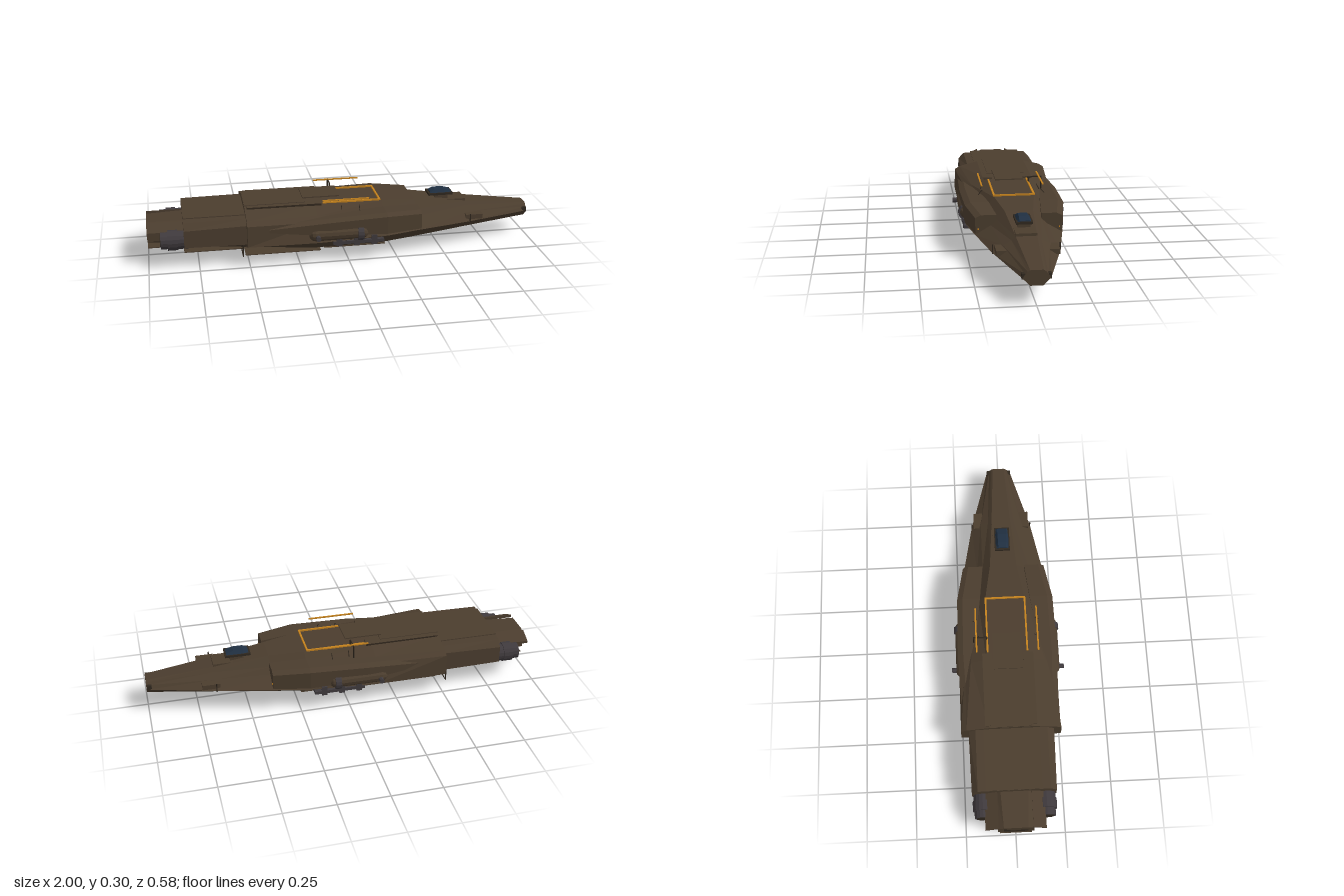
import * as THREE from 'three';

const mat = (name, color) => {
  const m = new THREE.MeshStandardMaterial({ color, flatShading: true, side: THREE.DoubleSide });
  m.name = name;
  return m;
};

export function createModel() {
  const brown = mat('hull brown', 0x4b3d2e);
  const dark = mat('dark trim', 0x30281f);
  const grey = mat('machinery grey', 0x3f3a3d);
  const orange = mat('orange marking', 0xc4821e);
  const glass = mat('canopy blue', 0x203042);
  const ship = new THREE.Group();
  ship.name = 'ship';

  const add = (name, geo, m, x = 0, y = 0, z = 0) => {
    const mesh = new THREE.Mesh(geo, m);
    mesh.name = name;
    mesh.position.set(x, y, z);
    ship.add(mesh);
    return mesh;
  };
  // box given by its limits on each axis
  const box = (name, m, x0, x1, y0, y1, z0, z1) =>
    add(name, new THREE.BoxGeometry(x1 - x0, y1 - y0, z1 - z0), m, (x0 + x1) / 2, (y0 + y1) / 2, (z0 + z1) / 2);
  // box on both sides of the ship
  const pair = (name, m, x0, x1, y0, y1, z0, z1) => {
    box(name + 'Left', m, x0, x1, y0, y1, z0, z1);
    box(name + 'Right', m, x0, x1, y0, y1, -z1, -z0);
  };
  const rod = (name, m, a, b, r) => {
    const path = new THREE.LineCurve3(new THREE.Vector3(...a), new THREE.Vector3(...b));
    return add(name, new THREE.TubeGeometry(path, 1, r, 4), m);
  };

  // skin between closed rings of [x, y, z] points, with end caps
  const loft = (rings) => {
    const pos = [];
    const tri = (a, b, c) => pos.push(...a, ...b, ...c);
    const n = rings[0].length;
    for (let i = 0; i + 1 < rings.length; i++) {
      for (let j = 0; j < n; j++) {
        const k = (j + 1) % n, p = rings[i], q = rings[i + 1];
        tri(p[j], p[k], q[j]);
        tri(p[k], q[k], q[j]);
      }
    }
    const last = rings[rings.length - 1];
    for (let j = 1; j + 1 < n; j++) {
      tri(rings[0][0], rings[0][j + 1], rings[0][j]);
      tri(last[0], last[j], last[j + 1]);
    }
    const g = new THREE.BufferGeometry();
    g.setAttribute('position', new THREE.Float32BufferAttribute(pos, 3));
    g.computeVertexNormals();
    return g;
  };
  // ring from a half section of [z, y] points listed from keel to deck
  const ring = (x, half) => [
    ...half.map(([z, y]) => [x, y, z]),
    ...half.slice().reverse().map(([z, y]) => [x, y, -z]),
  ].reverse();
  // ring on one side only; points run from inner bottom over the top to outer bottom
  const sideRing = (x, s, pts) => {
    const r = pts.map(([z, y]) => [x, y, z * s]);
    return s > 0 ? r : r.reverse();
  };

  // main hull, tail to nose
  add('mainHull', loft([
    ring(-0.51, [[0.1, 0.048], [0.255, 0.11], [0.252, 0.218], [0.225, 0.235], [0.11, 0.264]]),
    ring(-0.15, [[0.1, 0.018], [0.255, 0.108], [0.22, 0.205], [0.19, 0.228], [0.11, 0.262]]),
    ring(0.2, [[0.1, 0.022], [0.245, 0.118], [0.18, 0.19], [0.14, 0.215], [0.1, 0.257]]),
    ring(0.38, [[0.085, 0.037], [0.216, 0.126], [0.14, 0.172], [0.11, 0.2], [0.07, 0.241]]),
    ring(0.66, [[0.06, 0.064], [0.16, 0.13], [0.11, 0.165], [0.07, 0.187], [0.05, 0.205]]),
    ring(1, [[0.03, 0.095], [0.063, 0.13], [0.05, 0.148], [0.04, 0.16], [0.03, 0.167]]),
  ]), brown);
  // narrower rear hull
  add('rearHull', loft([
    ring(-0.82, [[0.09, 0.076], [0.21, 0.112], [0.21, 0.2], [0.18, 0.232], [0.1, 0.235]]),
    ring(-0.5, [[0.1, 0.048], [0.215, 0.11], [0.215, 0.21], [0.18, 0.236], [0.1, 0.238]]),
  ]), brown);
  add('tail', loft([
    ring(-1, [[0.05, 0.09], [0.09, 0.11], [0.09, 0.185], [0.06, 0.203]]),
    ring(-0.8, [[0.06, 0.078], [0.095, 0.1], [0.095, 0.19], [0.07, 0.208]]),
  ]), brown);
  box('tailRecess', dark, -1.0, -0.985, 0.11, 0.18, -0.06, 0.06);

  for (const s of [1, -1]) {
    const side = s > 0 ? 'Left' : 'Right';
    // wedge sponson, thin at the rear and blunt at the front
    const wedge = (x, zi, zo, y0, y1) => sideRing(x, s, [
      [zi, y0], [zi, y1], [zo - 0.028, y1], [zo, y1 - 0.014], [zo, y0],
    ]);
    add('sponson' + side, loft([
      wedge(-0.4, 0.2, 0.245, 0.175, 0.205), wedge(-0.1, 0.17, 0.256, 0.142, 0.225),
      wedge(0.2, 0.13, 0.25, 0.13, 0.235), wedge(0.385, 0.11, 0.214, 0.132, 0.225),
    ]), brown);
    box('sponsonLamp' + side, orange, 0.385, 0.389, 0.152, 0.158, s * 0.2 - 0.003, s * 0.2 + 0.003);

    // weapon pod with side knob
    const pod = add('pod' + side, new THREE.CapsuleGeometry(0.033, 0.24, 3, 12), brown, -0.05, 0.146, 0.235 * s);
    pod.rotation.z = Math.PI / 2;
    const collar = add('podCollar' + side, new THREE.CylinderGeometry(0.038, 0.038, 0.03, 14), grey, 0.06, 0.142, 0.237 * s);
    collar.rotation.z = Math.PI / 2;
    const knob = add('podKnob' + side, new THREE.CylinderGeometry(0.013, 0.013, 0.03, 8), grey, -0.16, 0.141, 0.275 * s);
    knob.rotation.x = Math.PI / 2;
    // rack with clamps under the pod
    box('podRack' + side, grey, -0.08, 0.18, 0.092, 0.108, s * 0.23 - 0.025, s * 0.23 + 0.025);
    for (const x of [-0.05, 0.04, 0.13])
      for (const z of [0.212, 0.246])
        box('podClamp' + side, grey, x - 0.014, x + 0.014, 0.082, 0.13, s * z - 0.009, s * z + 0.009);

    // engine: rings of varying radius behind the rear hull
    for (const [x, len, r] of [[-0.83, 0.06, 0.046], [-0.875, 0.05, 0.051], [-0.915, 0.04, 0.043]]) {
      const e = add('engine' + side, new THREE.CylinderGeometry(r, r, len, 16), grey, x, 0.138, 0.158 * s);
      e.rotation.z = Math.PI / 2;
    }
    const nozzle = add('nozzle' + side, new THREE.CylinderGeometry(0.033, 0.033, 0.004, 16), dark, -0.936, 0.138, 0.158 * s);
    nozzle.rotation.z = Math.PI / 2;
    // slanted shield over the inner half of the engine
    const shield = [[0.085, 0.193], [0.085, 0.208], [0.15, 0.178], [0.15, 0.165]];
    add('tailShield' + side, loft([sideRing(-1, s, shield), sideRing(-0.8, s, shield)]), brown);

    // landing skid pipe under the rear
    rod('skidPost' + side, dark, [-0.53, 0.105, 0.205 * s], [-0.53, 0.042, 0.205 * s], 0.003);
    rod('skidBar' + side, dark, [-0.53, 0.042, 0.206 * s], [-0.53, 0.042, 0.1 * s], 0.003);
    // slanted aerials
    rod('aerial' + side, dark, [0.07, 0.235, 0.172 * s], [0.07, 0.26, 0.15 * s], 0.002);
    rod('shortAerial' + side, dark, [-0.02, 0.225, 0.16 * s], [-0.02, 0.257, 0.143 * s], 0.002);
    rod('noseAerial' + side, dark, [0.66, 0.125, 0.158 * s], [0.66, 0.17, 0.158 * s], 0.003);
    // flared deck coaming
    const flare = [[0.08, 0.248], [0.08, 0.272], [0.13, 0.272], [0.115, 0.248]];
    add('deckCoaming' + side, loft([sideRing(-0.5, s, flare), sideRing(-0.12, s, flare)]), brown);
  }

  // small plates at the nose
  pair('nosePlate', brown, 0.64, 0.73, 0.137, 0.162, 0.1, 0.148);
  pair('noseTip', dark, 0.975, 0.998, 0.125, 0.15, 0.05, 0.066);

  // thin deck and belly panels
  box('rearDeckPanel', brown, -0.51, -0.2, 0.27, 0.275, -0.1, 0.1);
  box('upperPanel', brown, -0.21, -0.02, 0.283, 0.289, -0.073, 0.073);
  box('tailDeckPanel', brown, -0.82, -0.5, 0.238, 0.243, -0.14, 0.14);
  box('bellyPanel', brown, -0.51, -0.12, 0, 0.004, -0.1, 0.1);
  box('keelPanel', brown, -0.1, 0.22, 0.01, 0.015, -0.095, 0.095);
  box('rearBellyPanel', brown, -0.82, -0.51, 0.035, 0.039, -0.09, 0.09);
  box('tailBellyPanel', brown, -1, -0.8, 0.069, 0.073, -0.08, 0.08);

  // hoop on one side of the deck, below the rail
  rod('hoopOuter', dark, [-0.04, 0.22, -0.17], [-0.04, 0.294, -0.17], 0.004);
  rod('hoopInner', dark, [-0.04, 0.255, -0.104], [-0.04, 0.294, -0.104], 0.004);
  rod('hoopTop', dark, [-0.04, 0.292, -0.173], [-0.04, 0.292, -0.101], 0.004);

  // orange deck markings
  pair('deckStripe', orange, -0.11, 0.19, 0.259, 0.267, 0.097, 0.106);
  box('deckEndStripe', orange, 0.181, 0.19, 0.259, 0.267, -0.106, 0.106);
  pair('railStripe', orange, -0.12, 0.12, 0.292, 0.298, 0.153, 0.161);

  // cockpit on its raised neck
  box('cockpitNeck', brown, 0.4, 0.66, 0.19, 0.218, -0.05, 0.05);
  box('cockpitPost', brown, 0.5, 0.57, 0.215, 0.245, -0.03, 0.03);
  box('cockpitBase', dark, 0.465, 0.595, 0.24, 0.252, -0.04, 0.04);
  const canopyRing = (x, zb, zt, yt) => ring(x, [[zb, 0.25], [zt, yt]]);
  add('canopy', loft([
    canopyRing(0.475, 0.034, 0.02, 0.258), canopyRing(0.5, 0.036, 0.022, 0.268),
    canopyRing(0.55, 0.036, 0.022, 0.268), canopyRing(0.588, 0.034, 0.024, 0.256),
  ]), glass);
  return ship;
}
